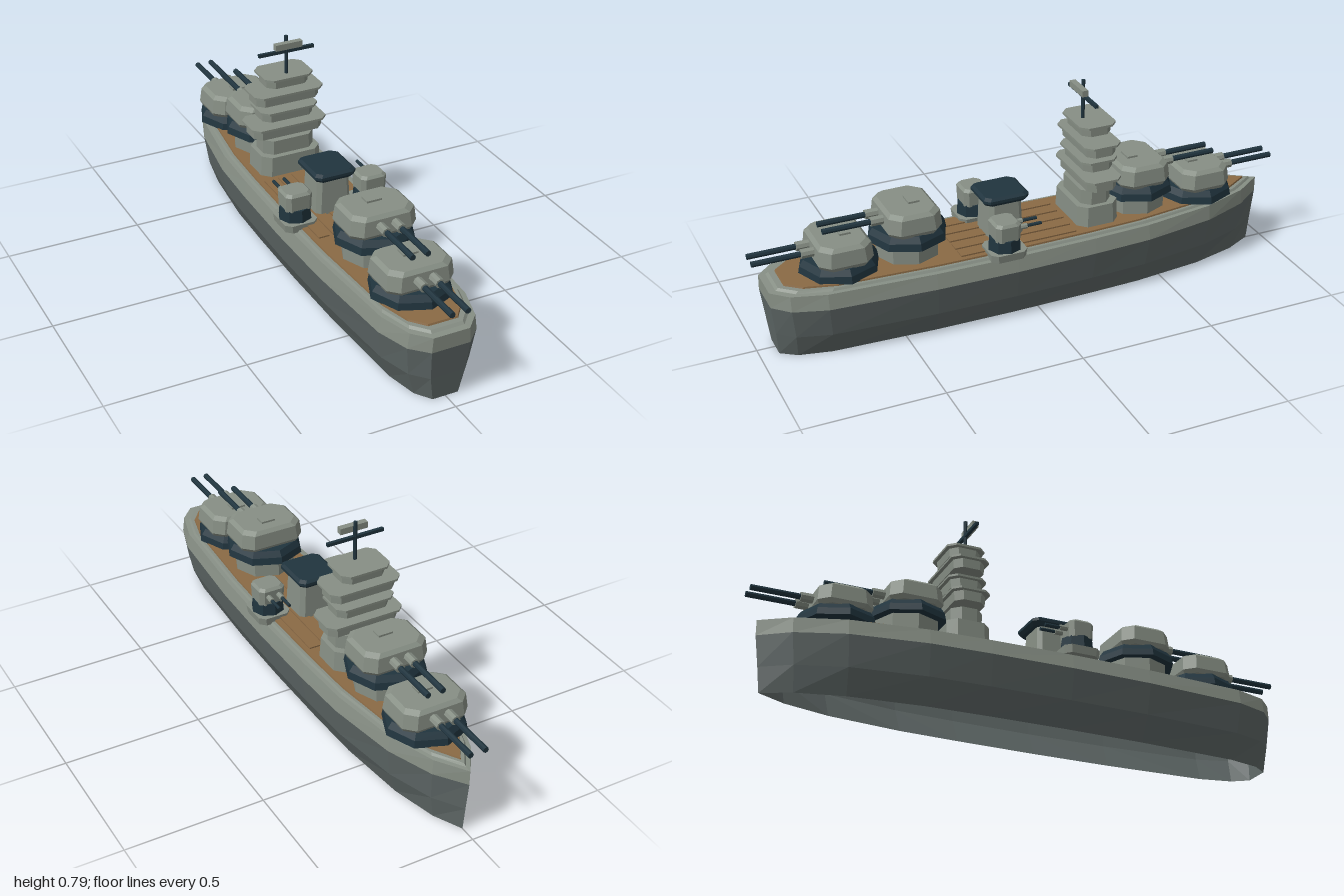
import * as THREE from 'three';

const mat = (name, color) => {
  const m = new THREE.MeshStandardMaterial({ color, flatShading: true, side: THREE.DoubleSide });
  m.name = name;
  return m;
};

// Loft between rings of points, counter-clockwise seen from above
function loft(rings, capTop = true, capBottom = true) {
  const pos = [];
  const n = rings[0].length;
  const tri = (...p) => p.forEach((v) => pos.push(...v));
  for (let r = 0; r < rings.length - 1; r++) {
    for (let i = 0; i < n; i++) {
      const j = (i + 1) % n, lo = rings[r], up = rings[r + 1];
      tri(lo[i], lo[j], up[j]);
      tri(lo[i], up[j], up[i]);
    }
  }
  const cap = (ring, flip) => {
    const c = [0, ring[0][1], 0];
    ring.forEach((p, i) => {
      const q = ring[(i + 1) % n];
      flip ? tri(c, q, p) : tri(c, p, q);
    });
  };
  if (capTop) cap(rings[rings.length - 1], false);
  if (capBottom) cap(rings[0], true);
  const g = new THREE.BufferGeometry();
  g.setAttribute('position', new THREE.Float32BufferAttribute(pos, 3));
  g.computeVertexNormals();
  return g;
}

// Rectangle with cut corners; w and d are half sizes
const cutRect = (w, d, c, y) => [
  [w, y, d - c], [w, y, c - d], [w - c, y, -d], [c - w, y, -d],
  [-w, y, c - d], [-w, y, d - c], [c - w, y, d], [w - c, y, d],
];
// Stack of cut-corner levels: [y, halfWidth, halfDepth]
const block = (levels, c) => loft(levels.map(([y, w, d]) => cutRect(w, d, c, y)));

// Half outline of the hull, stern to bow
const outline = [
  [0.07, 0.957], [0.127, 0.9], [0.165, 0.78], [0.19, 0.4], [0.195, 0.1],
  [0.19, -0.2], [0.18, -0.42], [0.138, -0.69], [0.075, -0.86], [0, -0.963],
];
const hullRing = (sx, sz, y) => {
  const right = outline.map(([x, z]) => [x * sx, y, z * sz]);
  const left = right.slice(0, -1).reverse().map(([x, , z]) => [-x, y, z]);
  return [...right, ...left];
};

export function createModel() {
  const ship = new THREE.Group();
  ship.name = 'battleship';
  const grey = mat('light grey', 0x878f85);
  const hullGrey = mat('hull grey', 0x5e6766);
  const dark = mat('dark blue', 0x20343e);
  const wood = mat('deck wood', 0x8a6a45);

  const add = (parent, name, geo, m, x = 0, y = 0, z = 0) => {
    const mesh = new THREE.Mesh(geo, m);
    mesh.name = name;
    mesh.position.set(x, y, z);
    parent.add(mesh);
    return mesh;
  };
  const box = (w, h, d) => new THREE.BoxGeometry(w, h, d);
  const rod = (r, z0, z1, sides = 8) =>
    new THREE.CylinderGeometry(r, r, z1 - z0, sides).rotateX(Math.PI / 2).translate(0, 0, (z0 + z1) / 2);

  // Hull, open underneath, with a bevelled rim and a wooden deck
  add(ship, 'hull', loft([
    hullRing(0.67, 0.976, 0), hullRing(0.89, 0.986, 0.09), hullRing(1, 1, 0.2),
  ], false, false), hullGrey);
  add(ship, 'hullRim', loft([
    hullRing(1, 1, 0.2), hullRing(0.94, 1, 0.255), hullRing(0.86, 0.975, 0.256), hullRing(0.83, 0.965, 0.264),
  ], true, false), grey);
  add(ship, 'deck', loft([hullRing(0.78, 0.945, 0.26), hullRing(0.77, 0.94, 0.27)]), wood);
  for (let i = -2; i <= 2; i++) {
    add(ship, 'deckPlank', box(0.04, 0.006, 0.44), wood, i * 0.055, 0.272, 0.07);
  }

  // Main gun turrets: a low and a raised one at each end
  const turret = (z, facing, raised) => {
    const g = new THREE.Group();
    g.name = raised ? 'raisedTurret' : 'lowTurret';
    g.position.set(0, raised ? 0.335 : 0.268, z);
    if (facing < 0) g.rotation.y = Math.PI;
    if (raised) {
      add(g, 'barbette', new THREE.CylinderGeometry(0.115, 0.115, 0.075, 8), grey, 0, -0.032);
    }
    add(g, 'turretRing', new THREE.CylinderGeometry(0.14, 0.145, 0.026, 8), dark, 0, 0.013);
    add(g, 'turretCollar', new THREE.CylinderGeometry(0.125, 0.14, 0.022, 8), dark, 0, 0.037);
    add(g, 'turretHouse', block([
      [0.045, 0.117, 0.09], [0.06, 0.124, 0.098], [0.113, 0.118, 0.093], [0.125, 0.104, 0.08],
    ], 0.035), grey);
    add(g, 'turretHatch', box(0.055, 0.008, 0.04), grey, 0, 0.128, -0.02);
    for (const x of [-0.028, 0.028]) {
      add(g, 'barrelSleeve', rod(0.017, 0.08, 0.14), grey, x, 0.088);
      add(g, 'barrel', rod(0.0105, 0.08, 0.31), dark, x, 0.088);
    }
    ship.add(g);
  };
  for (const s of [1, -1]) {
    turret(s * 0.69, s, false);
    turret(s * 0.44, s, true);
  }

  // Bridge tower of separate tiers, each with an overhanging lip
  const tower = new THREE.Group();
  tower.name = 'bridgeTower';
  tower.position.z = -0.25;
  ship.add(tower);
  add(tower, 'towerBase', block([
    [0.265, 0.12, 0.08], [0.345, 0.115, 0.078], [0.346, 0.1, 0.058], [0.4, 0.1, 0.058],
  ], 0.03), grey);
  const tiers = [[0.41, 0.455, 0.135], [0.475, 0.517, 0.1], [0.54, 0.583, 0.123], [0.605, 0.645, 0.082]];
  for (const [y0, y1, w] of tiers) {
    add(tower, 'towerTier', block([
      [y0, w, 0.056], [y1 - 0.009, w, 0.058], [y1 - 0.008, w + 0.012, 0.07], [y1, w + 0.012, 0.07],
    ], 0.025), grey, 0, 0, -0.005);
  }

  // Mast with yard and rangefinder
  add(tower, 'mast', new THREE.CylinderGeometry(0.007, 0.007, 0.19, 8), dark, 0, 0.695, 0.02);
  add(tower, 'yard', box(0.216, 0.012, 0.012), dark, 0, 0.731, 0.02);
  add(tower, 'rangefinder', box(0.104, 0.023, 0.022), grey, 0, 0.76, 0.037);

  // Funnel with a dark cap
  add(ship, 'funnel', block([[0.265, 0.068, 0.065], [0.415, 0.06, 0.06]], 0.015), grey, 0, 0, 0.09);
  add(ship, 'funnelCap', block([
    [0.405, 0.068, 0.075], [0.418, 0.078, 0.085], [0.428, 0.078, 0.085], [0.436, 0.068, 0.075],
  ], 0.018), dark, 0, 0, 0.09);

  // Secondary turrets on side sponsons, facing the bow
  for (const s of [1, -1]) {
    const g = new THREE.Group();
    g.name = 'secondaryTurret';
    g.position.set(s * 0.145, 0, 0.135);
    ship.add(g);
    add(g, 'sponson', block([[0.256, 0.058, 0.065], [0.285, 0.062, 0.068]], 0.02), grey);
    add(g, 'secondaryRing', new THREE.CylinderGeometry(0.056, 0.06, 0.045, 8), dark, 0, 0.307);
    add(g, 'secondaryHouse', block([
      [0.325, 0.048, 0.045], [0.382, 0.05, 0.047], [0.391, 0.042, 0.038],
    ], 0.015), grey);
    for (const x of [-0.02, 0.02]) {
      add(g, 'secondarySleeve', rod(0.01, -0.075, -0.03), grey, x, 0.36);
      add(g, 'secondaryBarrel', rod(0.006, -0.13, -0.03), dark, x, 0.36);
    }
  }
  return ship;
}
